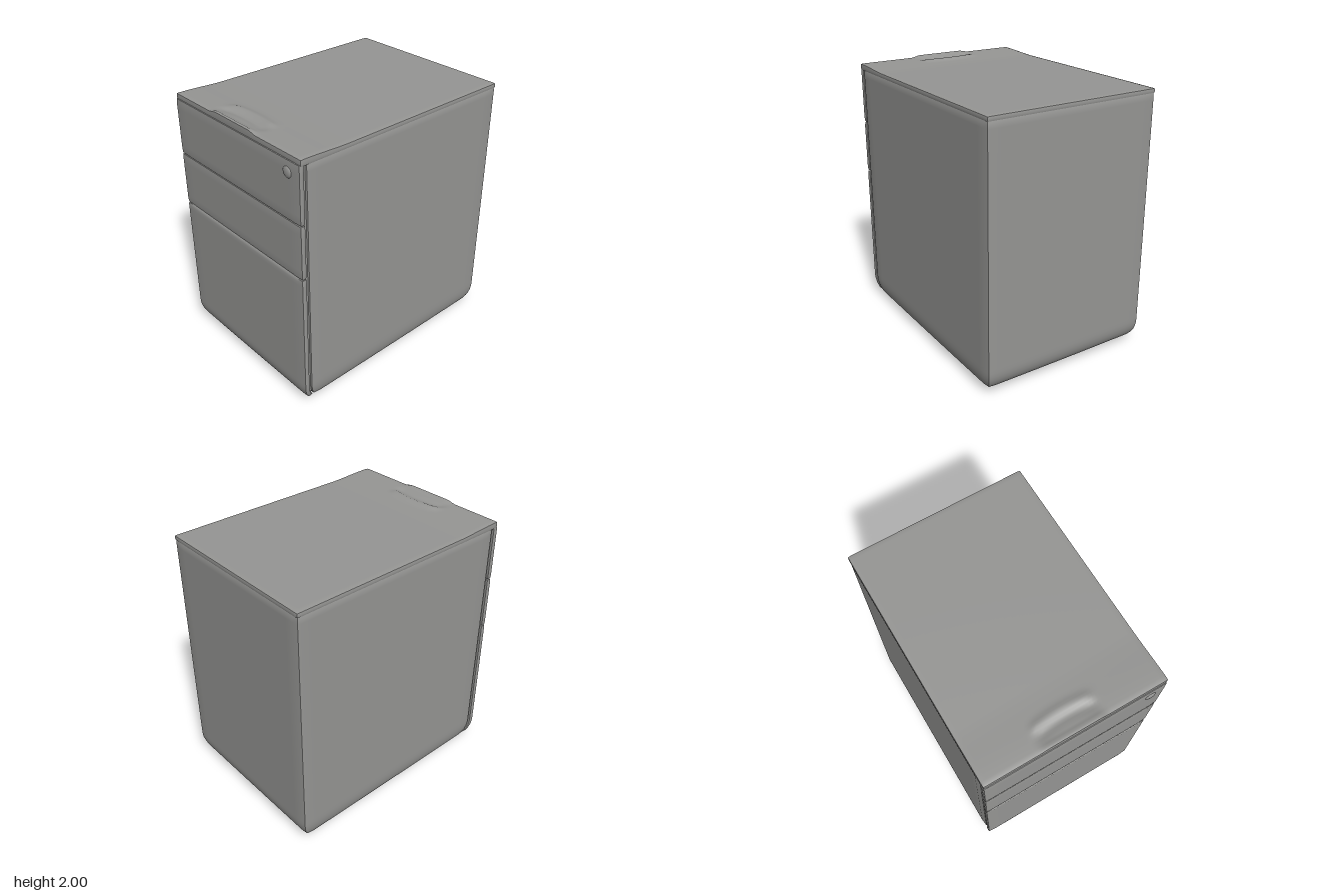
import * as THREE from 'three';
import { mergeVertices, toCreasedNormals } from 'three/addons/utils/BufferGeometryUtils.js';

const smooth = (a, b, v) => THREE.MathUtils.smoothstep(v, a, b);

// Soft-edged subdivided box between two corners, then bent by a rule
function softBox(min, max, seg, radius, rule) {
  const lo = new THREE.Vector3(...min), hi = new THREE.Vector3(...max);
  const size = hi.clone().sub(lo), mid = lo.clone().add(hi).multiplyScalar(0.5);
  let geo = new THREE.BoxGeometry(size.x, size.y, size.z, ...seg);
  geo.deleteAttribute('uv');
  geo.deleteAttribute('normal');
  geo = mergeVertices(geo, 1e-5);
  const inner = size.clone().multiplyScalar(0.5).subScalar(radius);
  const pos = geo.attributes.position, p = new THREE.Vector3(), c = new THREE.Vector3();
  for (let i = 0; i < pos.count; i++) {
    p.fromBufferAttribute(pos, i);
    c.copy(p).clamp(inner.clone().negate(), inner);
    p.sub(c);
    if (p.length() > radius) p.setLength(radius);
    p.add(c).add(mid);
    rule(p);
    pos.setXYZ(i, p.x, p.y, p.z);
  }
  return toCreasedNormals(geo, 0.9);
}

// Rounded lower rim and gently sagging underside
function roundBottom(p) {
  const t = THREE.MathUtils.clamp((0.19 - p.y) / 0.15, 0, 1);
  const inset = 0.085 * (1 - Math.sqrt(1 - t * t));
  p.z *= 1 - inset / 0.9;
  p.x *= 1 - inset * 0.6 / 0.68;
  const dome = (1 - (p.x / 0.68) ** 2) * (1 - (p.z / 0.92) ** 2);
  p.y -= 0.04 * t * Math.max(0, dome);
}

// Slight swell of the right-hand side towards mid height and the back
function swell(p) {
  if (p.x > 0) p.x += 0.02 * smooth(1.95, 0.6, p.y) * (1 - 0.4 * smooth(-0.6, 0.9, p.z));
}

// Top surface: lifted front lip and an arched finger grip
function shapeTop(p) {
  if (p.y < 1.955) return;
  const grip = smooth(-0.29, -0.2, p.x) * (1 - smooth(0.15, 0.23, p.x));
  const arch = 0.71 + 0.5 * (p.x + 0.02) ** 2;
  p.y += 0.014 * smooth(0.5, 0.88, p.z);
  p.y += 0.012 * grip * Math.exp(-(((p.z - arch) / 0.03) ** 2));
  p.y -= 0.012 * grip * Math.exp(-(((p.z - arch - 0.07) / 0.03) ** 2));
  p.y += 0.014 * grip * smooth(0.85, 0.88, p.z);
}

export function createModel() {
  const group = new THREE.Group();
  const grey = new THREE.MeshStandardMaterial({ color: 0x969694 });
  grey.name = 'mid grey';
  const add = (name, geo) => {
    const mesh = new THREE.Mesh(geo, grey);
    mesh.name = name;
    group.add(mesh);
    return mesh;
  };

  // Cabinet body
  add('carcass', softBox([-0.68, 0.04, -0.91], [0.665, 1.95, 0.856], [24, 64, 30], 0.025, (p) => {
    swell(p);
    roundBottom(p);
  }));

  // Top panel running over the drawer fronts
  add('topPanel', softBox([-0.68, 1.935, -0.91], [0.665, 1.972, 0.9], [60, 2, 90], 0.012, shapeTop));

  // Recessed backing behind the drawer gaps
  add('frontBacking', softBox([-0.66, 0.1, 0.84], [0.645, 1.945, 0.892], [10, 60, 1], 0.004, roundBottom));

  // Drawer fronts
  const drawers = [
    ['bottomDrawer', 0.04, 1.118, 40],
    ['middleDrawer', 1.118, 1.525, 12],
    ['topDrawer', 1.525, 1.95, 12],
  ];
  for (const [name, y0, y1, rows] of drawers) {
    add(name, softBox([-0.68, y0, 0.866], [0.66, y1, 0.908], [24, rows, 4], 0.014, (p) => {
      if (name === 'bottomDrawer') roundBottom(p);
    }));
  }

  // Lock in the upper corner of the top drawer
  const lock = add('lock', new THREE.SphereGeometry(0.04, 20, 12));
  lock.scale.set(1, 1, 0.35);
  lock.position.set(0.545, 1.865, 0.906);
  return group;
}
